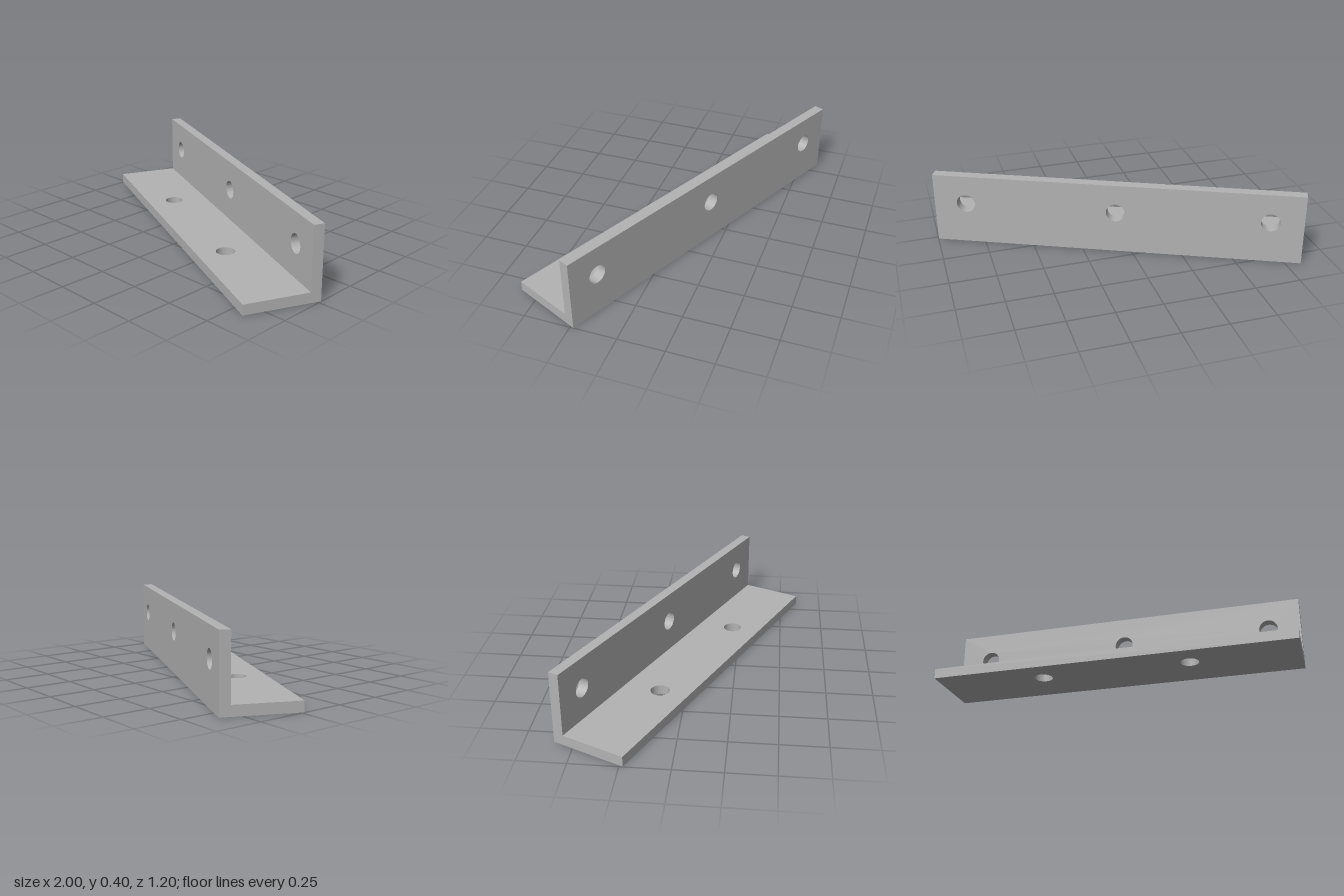
import * as THREE from 'three';
import { toCreasedNormals } from 'three/addons/utils/BufferGeometryUtils.js';

const LENGTH = 2.01, WIDTH = 0.405, HEIGHT = 0.398, THICK = 0.056;
const HOLE_RADIUS = 0.051, HOLE_STEP = 0.828;
const TURN = THREE.MathUtils.degToRad(24.45);

// Plate running along x from y0 to y1, drilled at each [x, y], extruded along z
function drilledPlate(y0, y1, holes) {
  const h = LENGTH / 2;
  const shape = new THREE.Shape([
    new THREE.Vector2(-h, y0), new THREE.Vector2(h, y0),
    new THREE.Vector2(h, y1), new THREE.Vector2(-h, y1),
  ]);
  for (const [x, y] of holes) {
    shape.holes.push(new THREE.Path().absarc(x, y, HOLE_RADIUS, 0, Math.PI * 2, true));
  }
  const geometry = new THREE.ExtrudeGeometry(shape, { depth: THICK, bevelEnabled: false, curveSegments: 40 });
  return toCreasedNormals(geometry, 0.6);
}

export function createModel() {
  const model = new THREE.Group();
  model.name = 'angleBracket';
  const steel = new THREE.MeshStandardMaterial({ color: 0xb3b3b3 });
  steel.name = 'grey steel';

  // Upright flange with three holes, along the back edge
  const upright = new THREE.Mesh(
    drilledPlate(0, HEIGHT, [-1, 0, 1].map((i) => [i * HOLE_STEP, 0.235])), steel);
  upright.name = 'uprightFlange';
  upright.position.z = -WIDTH / 2;

  // Flat flange with two holes, laid down in front of the upright
  const base = new THREE.Mesh(
    drilledPlate(-WIDTH / 2, WIDTH / 2 - THICK, [-0.5, 0.5].map((i) => [i * HOLE_STEP, -0.046])), steel);
  base.name = 'baseFlange';
  base.rotation.x = -Math.PI / 2;

  // The whole bracket stands turned about the vertical
  model.add(upright, base);
  model.rotation.y = -TURN;
  return model;
}
